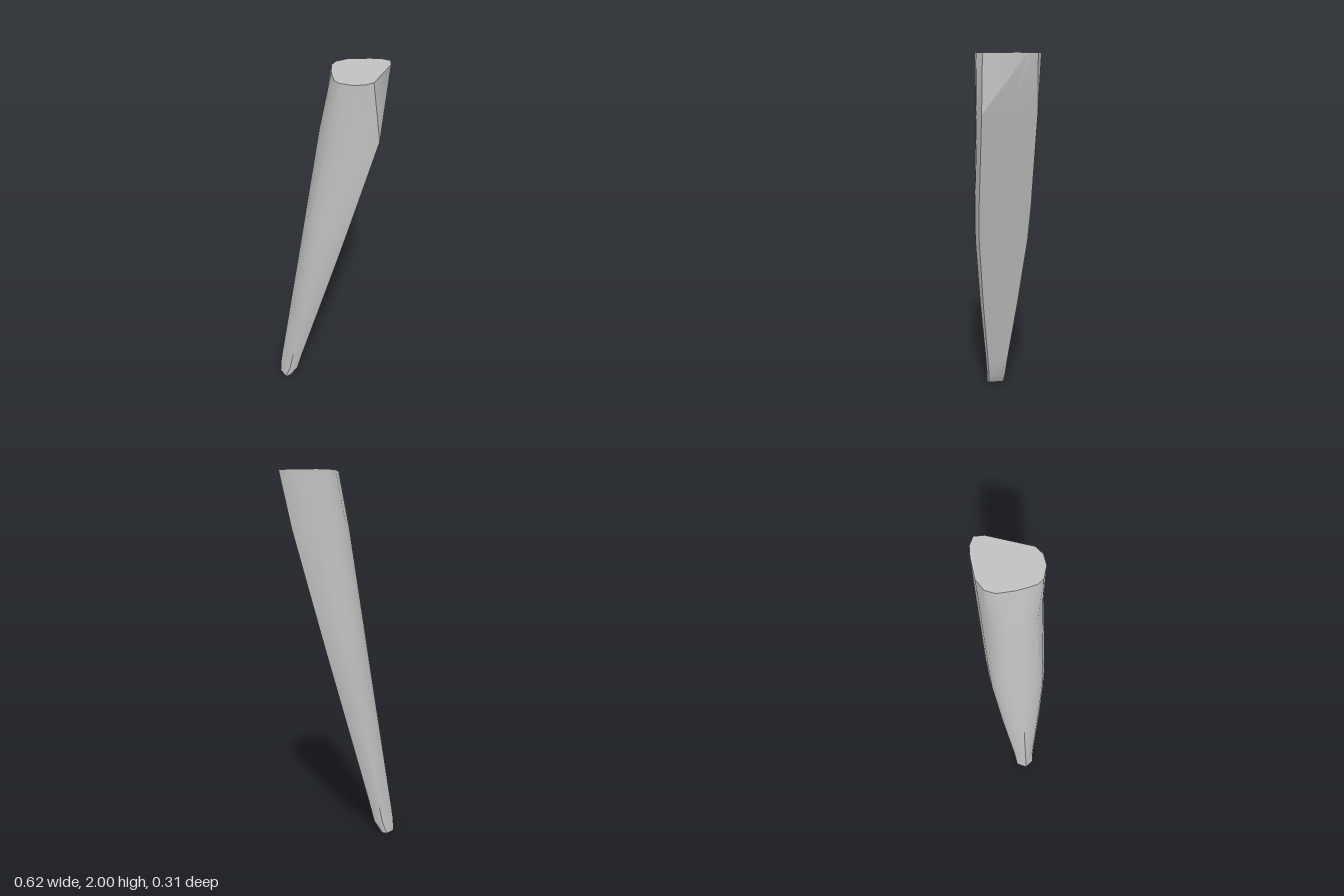
import * as THREE from 'three';
import { toCreasedNormals } from 'three/addons/utils/BufferGeometryUtils.js';

// Half outlines as [depth from nose to flat side, share of half width]
const ROUND = [[0, 0], [0.03, 0.33], [0.12, 0.62], [0.28, 0.84], [0.5, 0.97], [0.78, 1], [1, 0.9]];
const SHARP = [[0, 0], [0.12, 0.24], [0.25, 0.5], [0.38, 0.76], [0.55, 1], [0.78, 1], [1, 0.85]];

// Height, nose x, flat side x, half width, sharpness of the nose
const SECTIONS = [
  [0, -0.308, -0.245, 0.054, 1],
  [0.07, -0.304, -0.2, 0.058, 0.95],
  [0.2, -0.284, -0.168, 0.07, 0.7],
  [0.6, -0.221, -0.062, 0.114, 0.3],
  [1, -0.158, 0.045, 0.15, 0.1],
  [1.2, -0.127, 0.1, 0.156, 0],
  [1.7, -0.049, 0.238, 0.157, 0],
];

// Cut outline at the top, skewed towards the back
const TOP = [
  [0.01, 0], [0.013, 0.05], [0.02, 0.1], [0.04, 0.13], [0.1, 0.156], [0.156, 0.155], [0.2, 0.13],
  [0.302, -0.075], [0.307, -0.125], [0.265, -0.15], [0.21, -0.158], [0.1, -0.158], [0.04, -0.13], [0.015, -0.085],
];

function outline([y, nose, flat, half, sharp]) {
  const side = ROUND.map(([u, w], i) => {
    const depth = THREE.MathUtils.lerp(u, SHARP[i][0], sharp);
    const width = THREE.MathUtils.lerp(w, SHARP[i][1], sharp);
    return [nose + (flat - nose) * depth, y, half * width];
  });
  const mirrored = side.slice(1).reverse().map(([x, h, z]) => [x, h, -z]);
  return [...side, [flat, y, 0], ...mirrored];
}

export function createModel() {
  const rings = [...SECTIONS.map(outline), TOP.map(([x, z]) => [x, 2, z])];
  const n = TOP.length;
  const index = [];

  // Side walls between neighbouring sections
  for (let r = 0; r < rings.length - 1; r++) {
    for (let i = 0; i < n; i++) {
      const a = r * n + i;
      const b = r * n + ((i + 1) % n);
      index.push(a, b, b + n, a, b + n, a + n);
    }
  }
  // End caps
  const last = (rings.length - 1) * n;
  for (let i = 1; i < n - 1; i++) {
    index.push(0, i + 1, i);
    index.push(last, last + i, last + i + 1);
  }

  const geometry = new THREE.BufferGeometry();
  geometry.setAttribute('position', new THREE.Float32BufferAttribute(rings.flat(2), 3));
  geometry.setIndex(index);

  const grey = new THREE.MeshStandardMaterial({ color: 0xc0c0c0 });
  grey.name = 'light grey';
  const leg = new THREE.Mesh(toCreasedNormals(geometry, 0.5), grey);
  leg.name = 'taperedLeg';

  const group = new THREE.Group();
  group.name = 'slantedLeg';
  group.add(leg);
  return group;
}
